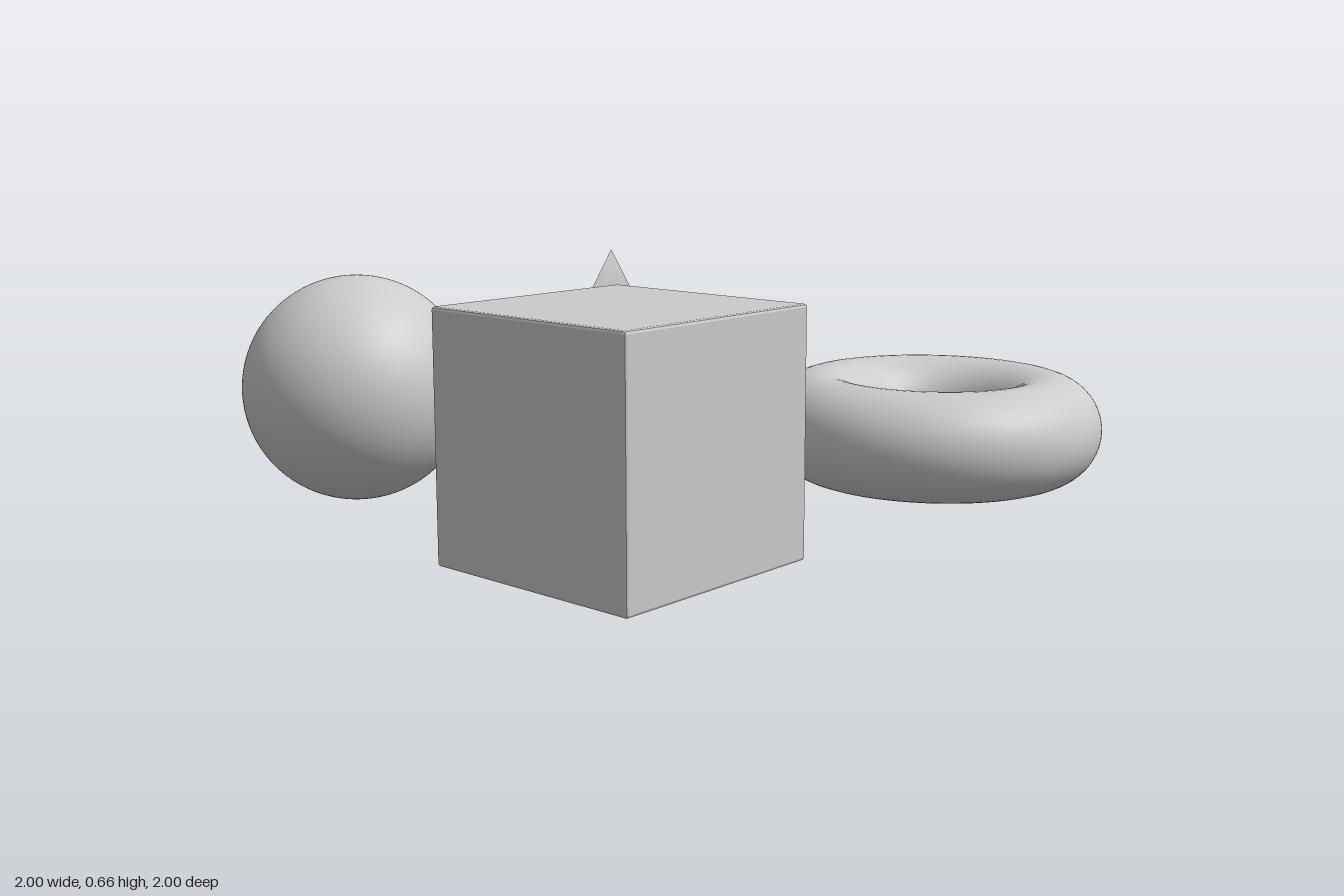
import * as THREE from 'three';
import { RoundedBoxGeometry } from 'three/addons/geometries/RoundedBoxGeometry.js';

const grey = new THREE.MeshStandardMaterial({ color: 0xcccccc });
const greyFlat = new THREE.MeshStandardMaterial({ color: 0xcccccc, flatShading: true });

// Closed cone whose rim vertices are shared by side and base, so the shading
// runs smoothly from the tip, around the rim and across the base.
function smoothCone(radius, height, sides) {
  const positions = [0, height, 0];
  const normals = [0, 1, 0];
  const index = [];
  for (let i = 0; i < sides; i++) {
    const a = (i / sides) * Math.PI * 2;
    const s = Math.sin(a), c = Math.cos(a);
    positions.push(radius * s, 0, radius * c);
    normals.push(0.857 * s, -0.515, 0.857 * c);
    const here = 1 + i, next = 1 + ((i + 1) % sides);
    index.push(0, here, next); // side
    if (i > 0 && i < sides - 1) index.push(1, next, here); // base
  }
  const geometry = new THREE.BufferGeometry();
  geometry.setAttribute('position', new THREE.Float32BufferAttribute(positions, 3));
  geometry.setAttribute('normal', new THREE.Float32BufferAttribute(normals, 3));
  geometry.setIndex(index);
  return geometry;
}

export function createModel() {
  const model = new THREE.Group();
  model.name = 'basicShapes';

  const add = (name, geometry, x, y, z, material = grey) => {
    const mesh = new THREE.Mesh(geometry, material);
    mesh.name = name;
    mesh.position.set(x, y, z);
    model.add(mesh);
  };

  // Cube with a fine chamfer along its edges
  add('cube', new RoundedBoxGeometry(0.65, 0.65, 0.65, 1, 0.008), 0.375, 0.33, 0.672, greyFlat);

  add('sphere', new THREE.SphereGeometry(0.323, 96, 64), -0.675, 0.331, 0.672);

  add('cone', smoothCone(0.325, 0.657, 96), -0.675, 0, -0.378);

  // Ring lying flat, floating just above the ground
  const ring = new THREE.TorusGeometry(0.335, 0.154, 48, 128).rotateX(Math.PI / 2);
  add('torus', ring, 0.509, 0.202, -0.51);

  return model;
}
